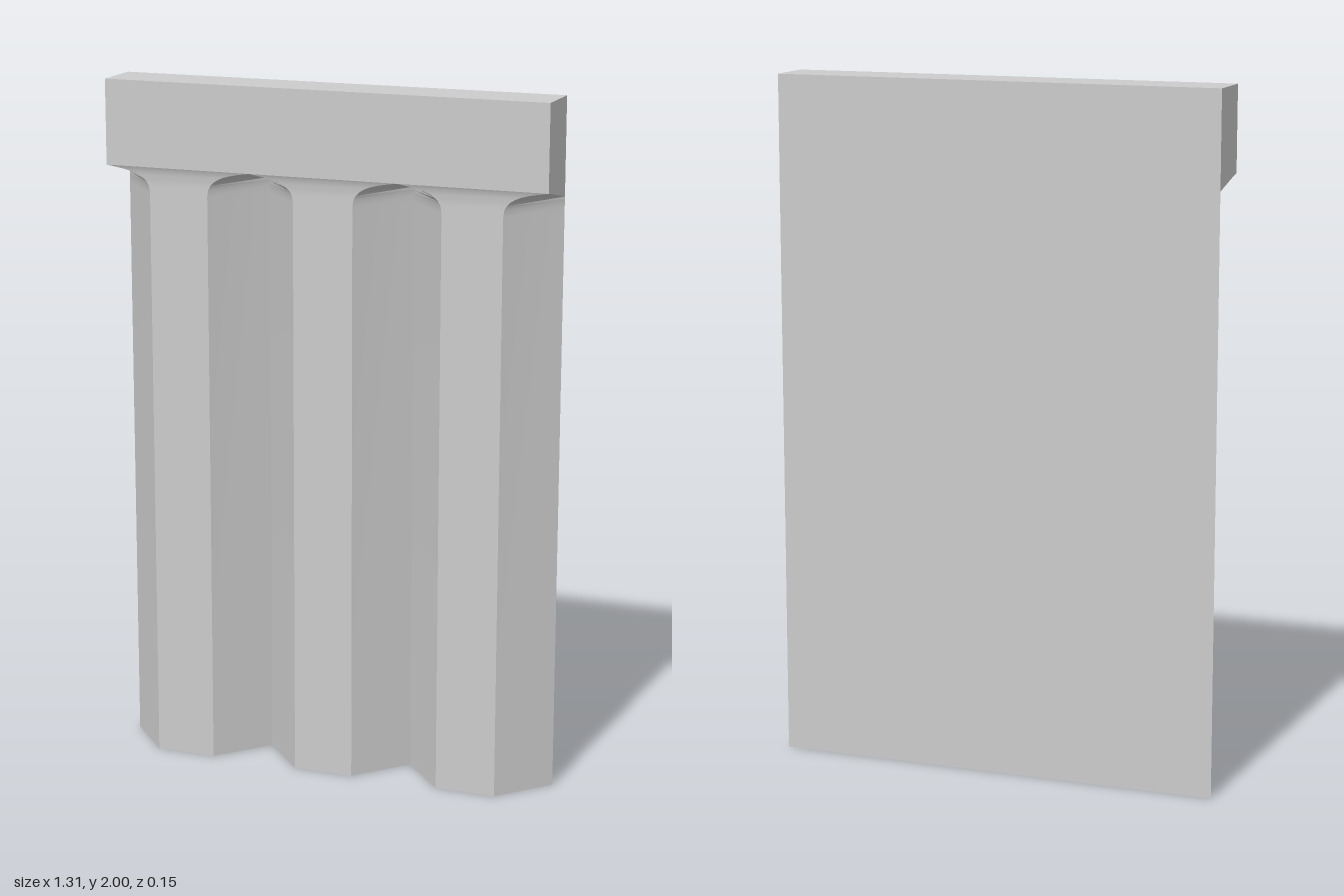
import * as THREE from 'three';
import { toCreasedNormals } from 'three/addons/utils/BufferGeometryUtils.js';

const HALF_W = 0.655, HALF_D = 0.077, BEAM_Y = 1.755;
const RIDGES = 3, PITCH = (2 * HALF_W) / RIDGES;

// Rows of the fluted panel: height, half width of groove mouth, valley z, ridge z
const LEVELS = [
  [0, 0.13, -HALF_D, 0.068],
  [1.68, 0.13, -HALF_D, 0.068],
  [1.7, 0.127, -HALF_D, 0.068],
  [1.712, 0.12, -HALF_D, 0.068],
  [1.722, 0.11, -HALF_D, 0.069],
  [1.73, 0.098, -0.042, 0.07],
  [1.738, 0.08, -0.006, 0.071],
  [1.745, 0.055, 0.025, 0.073],
  [1.751, 0.025, 0.055, 0.075],
  [BEAM_Y, 0, HALF_D, HALF_D],
];

// Closed outline at one level: valley, ridge, ridge, valley for each rib, then the back
function section([y, mouth, valleyZ, ridgeZ]) {
  const points = [];
  for (let i = 0; i < RIDGES; i++) {
    const x0 = -HALF_W + i * PITCH, x1 = x0 + PITCH;
    points.push([x0, y, valleyZ], [x0 + mouth, y, ridgeZ], [x1 - mouth, y, ridgeZ], [x1, y, valleyZ]);
  }
  points.push([HALF_W, y, -HALF_D], [-HALF_W, y, -HALF_D]);
  return points.map((p) => new THREE.Vector3(...p));
}

function panelGeometry() {
  const positions = [];
  const triangle = (a, b, c) => {
    if (new THREE.Triangle(a, b, c).getArea() < 1e-8) return;
    for (const p of [a, b, c]) positions.push(p.x, p.y, p.z);
  };
  const rows = LEVELS.map(section);

  // Walls between neighbouring rows
  for (let j = 0; j < rows.length - 1; j++) {
    const low = rows[j], high = rows[j + 1], n = low.length;
    for (let i = 0; i < n; i++) {
      const k = (i + 1) % n;
      triangle(low[i], low[k], high[k]);
      triangle(low[i], high[k], high[i]);
    }
  }

  // Underside of each rib
  for (let i = 0; i < RIDGES; i++) {
    const [a, b, c, d] = rows[0].slice(i * 4, i * 4 + 4);
    triangle(a, c, b);
    triangle(a, d, c);
  }

  const geometry = new THREE.BufferGeometry();
  geometry.setAttribute('position', new THREE.Float32BufferAttribute(positions, 3));
  return toCreasedNormals(geometry, THREE.MathUtils.degToRad(38));
}

export function createModel() {
  const group = new THREE.Group();
  group.name = 'flutedPanel';
  const material = new THREE.MeshStandardMaterial({ color: 0xcccccc });

  // Ribs with hooded grooves
  const panel = new THREE.Mesh(panelGeometry(), material);
  panel.name = 'flutes';

  // Plain band across the top
  const height = 2 - BEAM_Y;
  const beam = new THREE.Mesh(new THREE.BoxGeometry(2 * HALF_W, height, 2 * HALF_D), material);
  beam.position.y = BEAM_Y + height / 2;
  beam.name = 'topBeam';

  group.add(panel, beam);
  return group;
}
